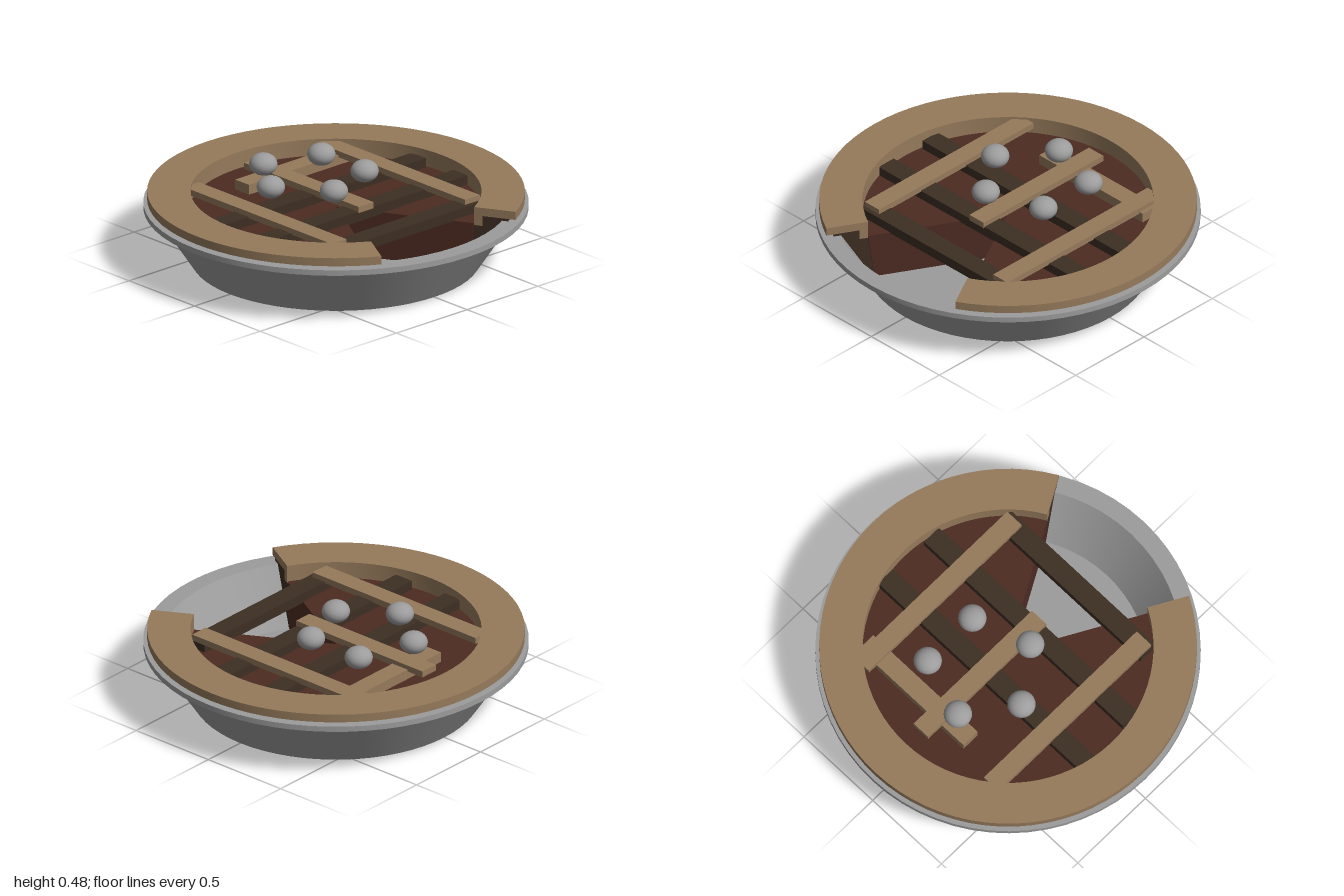
import * as THREE from 'three';
import { mergeGeometries, toCreasedNormals } from 'three/addons/utils/BufferGeometryUtils.js';

const GAP = 0.505; // half angle of the missing slice, centred on +x
const SEGMENTS = 64;

function mat(name, color) {
  const m = new THREE.MeshStandardMaterial({ color });
  m.name = name;
  return m;
}

const points = (profile) => profile.map(([r, y]) => new THREE.Vector2(r, y));

// Closed counter-clockwise profile turned all the way round
function turned(profile) {
  const g = new THREE.LatheGeometry(points([...profile, profile[0]]), SEGMENTS);
  return toCreasedNormals(g, 0.4);
}

// Same, but with the slice left out and both cut ends capped
function turnedWithGap(profile) {
  const start = Math.PI / 2 + GAP;
  const length = Math.PI * 2 - GAP * 2;
  const body = new THREE.LatheGeometry(points([...profile, profile[0]]), SEGMENTS, start, length);
  const cap = (phi, flip) => {
    const g = new THREE.ShapeGeometry(new THREE.Shape(points(profile)));
    if (flip) g.setIndex(Array.from(g.index.array).reverse());
    return g.rotateY(phi - Math.PI / 2);
  };
  const all = mergeGeometries([body, cap(start, false), cap(start + length, true)]);
  return toCreasedNormals(all, 0.4);
}

export function createModel() {
  const group = new THREE.Group();
  const tin = mat('tin grey', 0x9c9c9c);
  const pastry = mat('golden pastry', 0x957a5b);
  const darkPastry = mat('dark pastry', 0x3d2e23);
  const fruit = mat('red filling', 0x4d2b22);

  const add = (name, geometry, material, x = 0, y = 0, z = 0) => {
    const mesh = new THREE.Mesh(geometry, material);
    mesh.name = name;
    mesh.position.set(x, y, z);
    group.add(mesh);
    return mesh;
  };

  // Pan with flat rim
  add('pan', turned([
    [0, 0], [0.75, 0], [0.94, 0.29], [1, 0.29],
    [1, 0.32], [0.905, 0.32], [0.73, 0.03], [0, 0.03],
  ]), tin);

  // Pie body
  add('filling', turnedWithGap([[0, 0.032], [0.72, 0.032], [0.754, 0.29], [0, 0.29]]), fruit);
  add('crustLiner', turnedWithGap([
    [0.721, 0.032], [0.728, 0.032], [0.9, 0.322], [0.94, 0.322],
    [0.94, 0.335], [0.8, 0.335], [0.8, 0.28], [0.755, 0.28],
  ]), darkPastry);
  add('crustRing', turnedWithGap([
    [0.755, 0.28], [0.8, 0.28], [0.8, 0.335], [0.98, 0.335], [0.98, 0.38], [0.755, 0.38],
  ]), pastry);

  // Lower lattice strips, running front to back: x, length
  for (const [x, length] of [[-0.16, 1.47], [0.17, 1.45], [0.5, 1.05]]) {
    add('lowerStrip', new THREE.BoxGeometry(0.11, 0.055, length), darkPastry, x, 0.3125, 0);
  }
  add('shortStrip', new THREE.BoxGeometry(0.105, 0.055, 0.76), pastry, -0.49, 0.317, -0.17);

  // Upper lattice strips, running side to side: z, left end, right end
  for (const [z, x0, x1] of [[-0.475, -0.6, 0.53], [0, -0.645, 0.23], [0.468, -0.6, 0.53]]) {
    add('upperStrip', new THREE.BoxGeometry(x1 - x0, 0.034, 0.105), pastry, (x0 + x1) / 2, 0.351, z);
  }

  // Slightly flattened balls on top
  const ball = new THREE.SphereGeometry(0.074, 24, 16).scale(1, 0.79, 1);
  for (const [x, z] of [[-0.36, -0.23], [-0.03, -0.23], [-0.46, 0.088], [0.077, 0.086], [-0.19, 0.285]]) {
    add('ball', ball, tin, x, 0.423, z);
  }
  return group;
}
